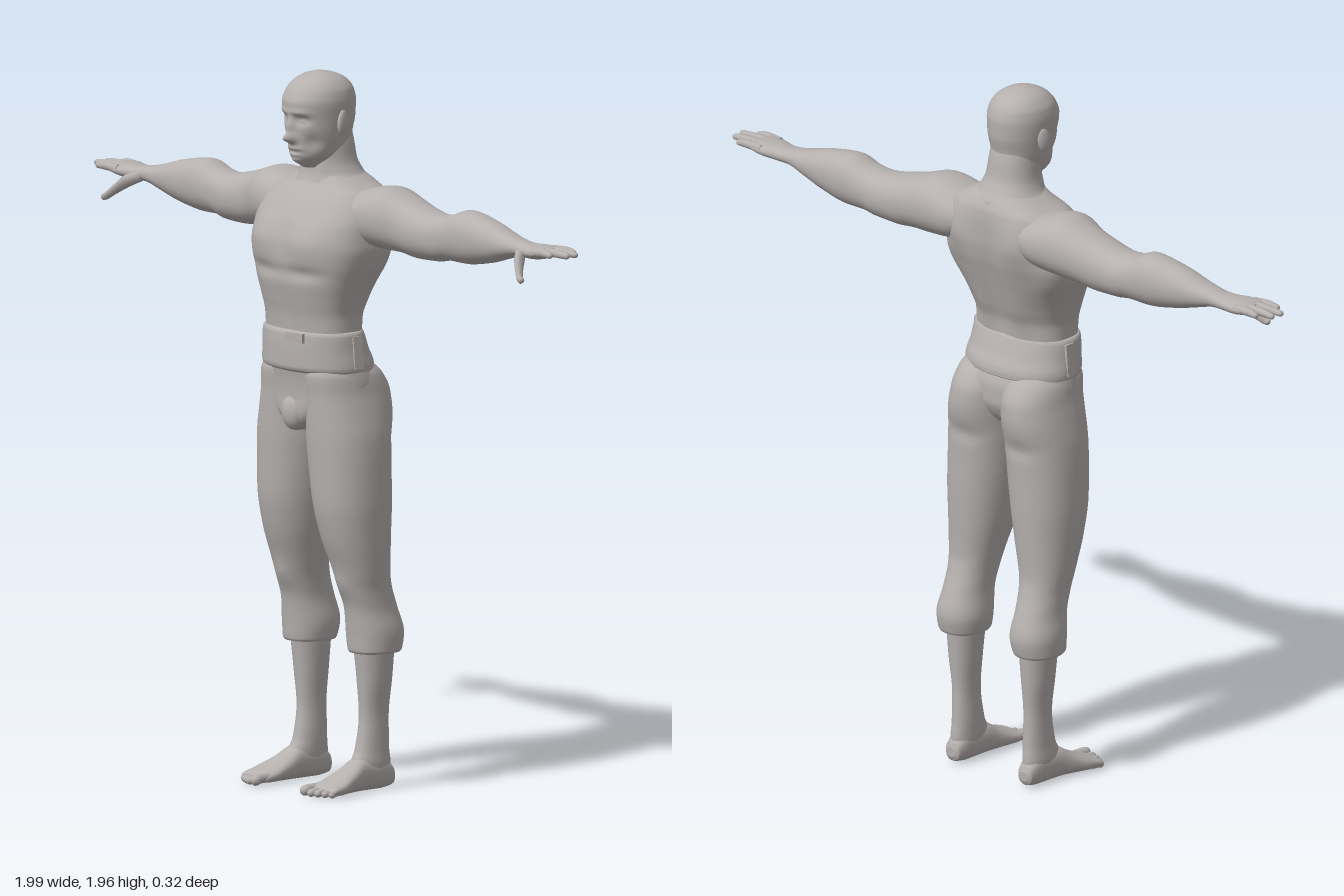
import * as THREE from 'three';

// Shape-preserving interpolation of section columns, so profiles never overshoot
function sample(rows, col, i, f) {
  const slope = k => (rows[k + 1][col] - rows[k][col]) / (rows[k + 1][0] - rows[k][0]);
  const tangent = k => {
    if (k === 0) return slope(0);
    if (k === rows.length - 1) return slope(k - 1);
    const a = slope(k - 1), b = slope(k);
    return a * b <= 0 ? 0 : 2 * a * b / (a + b);
  };
  const h = rows[i + 1][0] - rows[i][0], f2 = f * f, f3 = f2 * f;
  return (2 * f3 - 3 * f2 + 1) * rows[i][col] + (f3 - 2 * f2 + f) * h * tangent(i)
    + (3 * f2 - 2 * f3) * rows[i + 1][col] + (f3 - f2) * h * tangent(i + 1);
}

// Loft along an axis (0 x, 1 y, 2 z). Rows: [t, uMin, uMax, vMin, vMax],
// where u and v are the next two axes in cyclic order.
function loft(axis, rows, { seg = 32, steps = 5, n = 2.2 } = {}) {
  const pos = [], index = [], u = (axis + 1) % 3, v = (axis + 2) % 3;
  const add = (t, a, b) => {
    const p = [0, 0, 0];
    p[axis] = t; p[u] = a; p[v] = b;
    pos.push(...p);
  };
  const bend = s => Math.sign(s) * Math.pow(Math.abs(s), 2 / n);
  let rings = 0;
  for (let i = 0; i < rows.length - 1; i++) {
    const last = i === rows.length - 2 ? steps : steps - 1;
    for (let s = 0; s <= last; s++, rings++) {
      const f = s / steps, t = rows[i][0] + (rows[i + 1][0] - rows[i][0]) * f;
      const [a0, a1, b0, b1] = [1, 2, 3, 4].map(c => sample(rows, c, i, f));
      for (let j = 0; j < seg; j++) {
        const q = j / seg * Math.PI * 2;
        add(t, (a0 + a1) / 2 + bend(Math.cos(q)) * (a1 - a0) / 2,
          (b0 + b1) / 2 + bend(Math.sin(q)) * (b1 - b0) / 2);
      }
    }
  }
  for (let r = 0; r < rings - 1; r++) for (let j = 0; j < seg; j++) {
    const a = r * seg + j, b = r * seg + (j + 1) % seg;
    index.push(a, b, a + seg, b, b + seg, a + seg);
  }
  // End caps
  for (const r of [0, rings - 1]) {
    const e = rows[r ? rows.length - 1 : 0], base = pos.length / 3;
    for (let j = 0; j < seg; j++) pos.push(...pos.slice((r * seg + j) * 3, (r * seg + j) * 3 + 3));
    add(e[0], (e[1] + e[2]) / 2, (e[3] + e[4]) / 2);
    for (let j = 0; j < seg; j++) {
      const a = base + j, b = base + (j + 1) % seg;
      index.push(base + seg, ...(r ? [a, b] : [b, a]));
    }
  }
  const g = new THREE.BufferGeometry();
  g.setAttribute('position', new THREE.Float32BufferAttribute(pos, 3));
  g.setIndex(index);
  g.computeVertexNormals();
  return g;
}

// Vertical loft centred on x = 0. Rows: [y, back z, front z, half width]
const column = (rows, opt) => loft(1, rows.map(([y, b, f, w]) => [y, b, f, -w, w]), opt);

// Push the surface at soft spots: [x, y, z, rx, ry, rz, dx, dy, dz], mirrored in x
function sculpt(g, spots) {
  const p = g.attributes.position;
  const all = spots.flatMap(s => s[0] ? [s, [-s[0], ...s.slice(1, 6), -s[6], s[7], s[8]]] : [s]);
  for (let i = 0; i < p.count; i++) {
    const x = p.getX(i), y = p.getY(i), z = p.getZ(i);
    let dx = 0, dy = 0, dz = 0;
    for (const [sx, sy, sz, rx, ry, rz, ax, ay, az] of all) {
      const w = Math.exp(-(((x - sx) / rx) ** 2) - ((y - sy) / ry) ** 2 - ((z - sz) / rz) ** 2);
      dx += ax * w; dy += ay * w; dz += az * w;
    }
    p.setXYZ(i, x + dx, y + dy, z + dz);
  }
  g.computeVertexNormals();
  return g;
}

function mirrored(g) {
  const m = g.clone().scale(-1, 1, 1), ix = m.index.array;
  for (let i = 0; i < ix.length; i += 3) [ix[i + 1], ix[i + 2]] = [ix[i + 2], ix[i + 1]];
  m.computeVertexNormals();
  return m;
}

// Tapered digit along an axis. Points: [t, u, v, radius], with a rounded tip
function digit(axis, pts) {
  const [t, u, v, r] = pts[pts.length - 1];
  const all = [...pts, [t + r * 0.7, u, v, r * 0.7], [t + r, u, v, r * 0.15]];
  return loft(axis, all.map(([t, u, v, r]) => [t, u - r, u + r, v - r, v + r]), { seg: 12, steps: 3, n: 2 });
}

export function createModel() {
  const model = new THREE.Group();
  model.name = 'figure';
  const clay = new THREE.MeshStandardMaterial({ color: 0xb5b0ae });
  clay.name = 'warm grey';
  const part = (name, g) => {
    const m = new THREE.Mesh(g, clay);
    m.name = name;
    model.add(m);
  };
  const pair = (name, g) => { part('left' + name, g); part('right' + name, mirrored(g)); };

  // Head with sculpted face
  part('head', sculpt(column([
    [1.70, -0.06, 0.06, 0.03], [1.715, -0.065, 0.082, 0.045], [1.735, -0.07, 0.097, 0.06],
    [1.77, -0.08, 0.103, 0.074], [1.80, -0.086, 0.107, 0.08], [1.84, -0.094, 0.111, 0.085],
    [1.88, -0.095, 0.116, 0.088], [1.91, -0.088, 0.104, 0.083], [1.935, -0.07, 0.083, 0.067],
    [1.952, -0.038, 0.052, 0.042], [1.96, -0.005, 0.02, 0.012],
  ], { seg: 96, steps: 8, n: 2.1 }), [
    [0, 1.785, 0.11, 0.014, 0.014, 0.04, 0, 0, 0.03], [0, 1.815, 0.11, 0.011, 0.026, 0.04, 0, 0, 0.015],
    [0.035, 1.836, 0.1, 0.019, 0.012, 0.04, 0, 0, -0.012], [0.035, 1.834, 0.1, 0.01, 0.005, 0.04, 0, 0, 0.006],
    [0.03, 1.857, 0.1, 0.026, 0.008, 0.04, 0, 0, 0.006],
    [0, 1.757, 0.1, 0.024, 0.006, 0.04, 0, 0, 0.008], [0, 1.748, 0.1, 0.022, 0.003, 0.04, 0, 0, -0.005],
    [0, 1.739, 0.1, 0.02, 0.005, 0.04, 0, 0, 0.006], [0, 1.722, 0.09, 0.02, 0.01, 0.04, 0, 0, 0.008],
    [0.055, 1.775, 0.08, 0.018, 0.022, 0.04, -0.004, 0, -0.007],
  ]));
  const ear = new THREE.SphereGeometry(1, 20, 14).scale(0.009, 0.034, 0.02);
  pair('Ear', ear.rotateX(-0.15).rotateY(0.25).translate(0.087, 1.828, 0));

  part('neck', sculpt(column([
    [1.60, -0.13, 0.065, 0.12], [1.655, -0.132, 0.055, 0.115], [1.685, -0.115, 0.045, 0.088],
    [1.72, -0.098, 0.042, 0.074], [1.77, -0.09, 0.045, 0.068], [1.81, -0.08, 0.03, 0.06],
  ]), [[0.04, 1.69, 0.03, 0.018, 0.06, 0.03, 0, 0, 0.008]]));

  // Torso: chest, shoulder blades, spine and abdomen
  part('torso', sculpt(column([
    [1.24, -0.065, 0.12, 0.152], [1.30, -0.07, 0.126, 0.153], [1.35, -0.088, 0.136, 0.165],
    [1.40, -0.108, 0.145, 0.182], [1.45, -0.126, 0.148, 0.2], [1.50, -0.14, 0.145, 0.211],
    [1.55, -0.145, 0.132, 0.21], [1.60, -0.145, 0.103, 0.198], [1.635, -0.142, 0.076, 0.175],
    [1.66, -0.132, 0.055, 0.125], [1.685, -0.11, 0.04, 0.08],
  ], { seg: 72, steps: 7, n: 2.5 }), [
    [0.09, 1.505, 0.14, 0.07, 0.05, 0.06, 0, 0, 0.01], [0, 1.52, 0.14, 0.016, 0.07, 0.05, 0, 0, -0.007],
    [0.08, 1.425, 0.14, 0.07, 0.018, 0.06, 0, 0, -0.008], [0, 1.35, 0.13, 0.01, 0.07, 0.05, 0, 0, -0.004],
    [0.11, 1.56, -0.14, 0.055, 0.06, 0.06, 0, 0, -0.012], [0, 1.46, -0.13, 0.024, 0.15, 0.06, 0, 0, 0.016],
    [0.06, 1.33, -0.08, 0.03, 0.07, 0.05, 0, 0, -0.008], [0.18, 1.46, -0.06, 0.05, 0.06, 0.06, 0.008, 0, -0.006],
  ]));

  // Arm from shoulder to palm
  pair('Arm', sculpt(loft(0, [
    [0.08, 1.54, 1.62, -0.13, 0.03], [0.16, 1.50, 1.653, -0.148, 0.048], [0.23, 1.495, 1.666, -0.15, 0.044],
    [0.30, 1.493, 1.647, -0.14, 0.026], [0.37, 1.485, 1.628, -0.13, 0.016], [0.44, 1.487, 1.616, -0.125, 0.01],
    [0.49, 1.495, 1.622, -0.125, 0.003], [0.545, 1.494, 1.64, -0.125, 0], [0.65, 1.51, 1.624, -0.112, -0.005],
    [0.72, 1.53, 1.604, -0.1, -0.012], [0.785, 1.546, 1.59, -0.089, -0.018], [0.82, 1.547, 1.587, -0.091, -0.012],
    [0.86, 1.549, 1.589, -0.098, -0.002], [0.895, 1.556, 1.589, -0.1, 0], [0.91, 1.565, 1.584, -0.096, -0.004],
  ], { seg: 40 }), [
    [0.31, 1.57, 0.03, 0.03, 0.08, 0.05, 0, 0, -0.007], [0.47, 1.56, 0, 0.03, 0.05, 0.04, 0, 0, -0.006],
  ]));

  // Fingers: [root z, tip x, tip z]
  [[-0.013, 0.95, -0.008], [-0.038, 0.988, -0.035], [-0.063, 0.985, -0.067], [-0.086, 0.948, -0.092]]
    .forEach(([z, tx, tz], i) => pair('Finger' + (i + 1), digit(0, [
      [0.87, 1.573, z, 0.012], [0.92, 1.576, (z + tz) / 2, 0.0115], [tx, 1.574, tz, 0.0085]])));
  pair('Thumb', digit(0, [
    [0.79, 1.564, -0.035, 0.014], [0.825, 1.548, -0.006, 0.019], [0.852, 1.522, 0.018, 0.014], [0.876, 1.502, 0.033, 0.01]]));

  // Trousers: hips, belt and legs ending in hems below the knee
  part('hips', column([
    [0.985, -0.03, 0.1, 0.02], [1.0, -0.06, 0.112, 0.05], [1.04, -0.1, 0.116, 0.13],
    [1.08, -0.115, 0.114, 0.178], [1.12, -0.115, 0.117, 0.177], [1.17, -0.1, 0.126, 0.168],
  ], { seg: 48 }));
  part('frontPanel', new THREE.SphereGeometry(1, 24, 16).scale(0.04, 0.05, 0.03).translate(0, 1.035, 0.098));
  pair('TrouserLeg', sculpt(loft(1, [
    [0.378, -0.143, -0.002, 0.074, 0.198], [0.385, -0.147, 0.002, 0.07, 0.203], [0.43, -0.155, 0.006, 0.064, 0.205],
    [0.50, -0.136, 0.015, 0.071, 0.194], [0.55, -0.12, 0.03, 0.068, 0.193], [0.60, -0.111, 0.045, 0.058, 0.199],
    [0.70, -0.115, 0.08, 0.035, 0.207], [0.80, -0.12, 0.1, 0.018, 0.212], [0.90, -0.122, 0.106, 0.006, 0.21],
    [0.97, -0.128, 0.11, 0.001, 0.205], [1.05, -0.141, 0.112, 0.001, 0.19], [1.09, -0.139, 0.113, 0.002, 0.181],
    [1.14, -0.115, 0.117, 0.004, 0.172], [1.165, -0.09, 0.11, 0.01, 0.16],
  ], { seg: 48 }), [
    [0.125, 0.57, 0.03, 0.03, 0.035, 0.04, 0, 0, 0.007], [0.1, 0.965, -0.12, 0.06, 0.022, 0.04, 0, 0, 0.008],
  ]));
  part('belt', column([
    [1.15, -0.1, 0.122, 0.168], [1.157, -0.11, 0.134, 0.173], [1.168, -0.11, 0.137, 0.174], [1.21, -0.093, 0.137, 0.168],
    [1.252, -0.077, 0.135, 0.164], [1.262, -0.072, 0.131, 0.159], [1.264, -0.06, 0.12, 0.15],
  ], { seg: 64 }));
  part('beltTab', new THREE.BoxGeometry(0.065, 0.026, 0.009).rotateY(0.12).translate(0.045, 1.247, 0.134));
  pair('BeltLoop', new THREE.BoxGeometry(0.008, 0.09, 0.03).rotateZ(0.09).translate(0.169, 1.208, 0.015));

  // Bare shins, feet and toes
  pair('Shin', loft(1, [
    [0.03, -0.12, -0.02, 0.105, 0.16], [0.07, -0.124, 0.004, 0.098, 0.166], [0.11, -0.12, -0.014, 0.098, 0.163],
    [0.20, -0.118, -0.028, 0.101, 0.161], [0.30, -0.125, -0.022, 0.094, 0.172], [0.40, -0.132, -0.012, 0.086, 0.18],
  ]));
  pair('Foot', loft(2, [
    [-0.132, 0.12, 0.147, 0.018, 0.045], [-0.125, 0.108, 0.158, 0.006, 0.062], [-0.085, 0.1, 0.165, 0, 0.09],
    [-0.02, 0.097, 0.17, 0, 0.092], [0.03, 0.092, 0.182, 0, 0.066], [0.08, 0.087, 0.196, 0, 0.043],
    [0.115, 0.089, 0.197, 0.002, 0.03], [0.125, 0.095, 0.19, 0.006, 0.022],
  ], { n: 2.4 }));
  [[0.104, 0.146, 0.015], [0.129, 0.146, 0.011], [0.149, 0.139, 0.0105], [0.168, 0.13, 0.01], [0.185, 0.119, 0.0095]]
    .forEach(([x, z, r], i) => pair('Toe' + (i + 1), digit(2, [
      [0.08, x, r + 0.004, r * 0.9], [z - 0.015, x, r + 0.003, r * 0.9], [z, x, r, r]])));

  return model;
}
